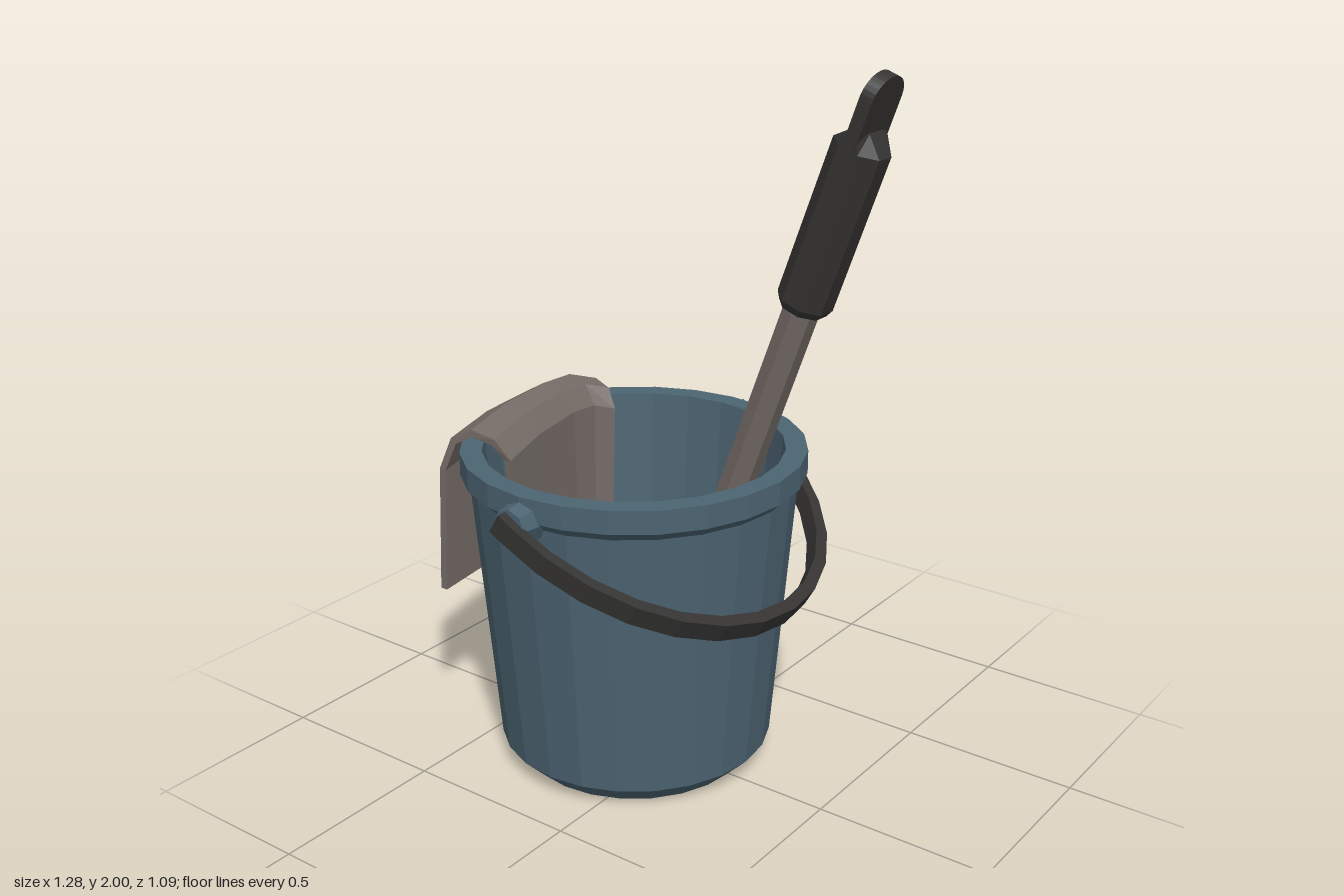
import * as THREE from 'three';

const mat = (name, color, side = THREE.FrontSide) => {
  const m = new THREE.MeshStandardMaterial({ color, flatShading: true, side });
  m.name = name;
  return m;
};

export function createModel() {
  const model = new THREE.Group();
  model.name = 'cleaningBucket';
  const blue = mat('blue plastic', 0x4c6472);
  const dark = mat('dark rubber', 0x353433);
  const taupe = mat('taupe', 0x746b66);

  const add = (parent, name, geometry, material, x = 0, y = 0, z = 0) => {
    const mesh = new THREE.Mesh(geometry, material);
    mesh.name = name;
    mesh.position.set(x, y, z);
    parent.add(mesh);
    return mesh;
  };
  // Flat outline in x/z, given thickness upwards from y = 0
  const slab = (points, depth) => new THREE.ExtrudeGeometry(
    new THREE.Shape(points.map(([x, z]) => new THREE.Vector2(x, -z))),
    { depth, bevelEnabled: false }).rotateX(-Math.PI / 2);

  // Bucket: one closed profile, outside then inside
  const bucket = new THREE.Group();
  bucket.name = 'bucket';
  bucket.position.x = -0.13;
  model.add(bucket);
  const profile = [[0, 0], [0.325, 0], [0.385, 0.06], [0.45, 0.83], [0.475, 0.855],
    [0.475, 0.92], [0.415, 0.92], [0.35, 0.13], [0, 0.13]];
  add(bucket, 'pail', new THREE.LatheGeometry(profile.map(p => new THREE.Vector2(...p)), 24), blue);

  // Pivot knobs on both sides
  for (const s of [-1, 1]) {
    const knob = new THREE.CylinderGeometry(0.05, 0.062, 0.09, 8);
    knob.rotateX(s * Math.PI / 2);
    add(bucket, 'pivotKnob', knob, blue, 0, 0.85, s * 0.472);
  }

  // Carrying handle: a half-ellipse band hanging down to one side
  const outer = [[-0.03, -0.545]], inner = [[-0.03, -0.515]];
  const steps = 14;
  for (let i = 0; i <= steps; i++) {
    const a = -Math.PI / 2 + Math.PI * i / steps;
    outer.push([0.597 * Math.cos(a), 0.545 * Math.sin(a)]);
    inner.push([0.562 * Math.cos(a), 0.515 * Math.sin(a)]);
  }
  outer.push([-0.03, 0.545]);
  inner.push([-0.03, 0.515]);
  const band = slab([...outer, ...inner.reverse()], 0.06).translate(0, -0.03, 0);
  add(bucket, 'carryHandle', band, dark, 0, 0.85, 0).rotation.z = -0.53;

  // Brush leaning in the bucket; its origin is at the bottom of the grip
  const brush = new THREE.Group();
  brush.name = 'brush';
  brush.position.set(0.413, 1.41, 0.02);
  brush.rotation.z = -THREE.MathUtils.degToRad(20);
  model.add(brush);
  const shaft = new THREE.CylinderGeometry(0.046, 0.046, 1.29, 6);
  add(brush, 'shaft', shaft, taupe, 0, -0.595, 0);
  add(brush, 'gripCollar', new THREE.CylinderGeometry(0.072, 0.062, 0.02, 8).rotateY(Math.PI / 8), dark, 0, 0.005, 0);
  add(brush, 'grip', new THREE.CylinderGeometry(0.072, 0.072, 0.42, 8).rotateY(Math.PI / 8), dark, 0, 0.225, 0);
  // Wedge narrowing from the grip to the hanging tab
  const wedge = new THREE.CylinderGeometry(0.072, 0.072, 0.045, 8).rotateY(Math.PI / 8);
  const wp = wedge.attributes.position;
  for (let i = 0; i < wp.count; i++) if (wp.getY(i) > 0) wp.setX(i, wp.getX(i) * 0.3);
  add(brush, 'gripShoulder', wedge, dark, 0, 0.4575, 0);
  // Hanging tab with a rounded end
  const tab = new THREE.Shape();
  tab.moveTo(-0.069, 0.43);
  tab.lineTo(0.069, 0.43);
  tab.lineTo(0.069, 0.56);
  tab.absellipse(0, 0.56, 0.069, 0.06, 0, Math.PI);
  const tabGeometry = new THREE.ExtrudeGeometry(tab, { depth: 0.034, bevelEnabled: false, curveSegments: 8 });
  tabGeometry.translate(0, 0, -0.017).rotateY(Math.PI / 2);
  add(brush, 'hangingTab', tabGeometry, dark);
  // Head plate with cut corners, and the pad beneath it
  const plate = [[-0.065, -0.23], [-0.04, -0.29], [0.04, -0.29], [0.065, -0.23],
    [0.065, 0.23], [0.04, 0.29], [-0.04, 0.29], [-0.065, 0.23]].reverse();
  add(brush, 'brushHead', slab(plate, 0.05), taupe, 0, -1.26, 0);
  add(brush, 'brushPad', new THREE.BoxGeometry(0.1, 0.05, 0.52), taupe, 0, -1.28, 0);

  add(model, 'cloth', clothGeometry(), taupe);
  return model;
}

// Cloth draped over the rim: a thick folded section, lofted along z
function clothGeometry() {
  const rows = [[-0.63, 0.46], [-0.63, 0.85], [-0.6, 0.945], [-0.54, 0.98],
    [-0.475, 0.965], [-0.435, 0.91], [-0.43, 0.6]];
  // Each column: outer z, inner z, outer shift, inner shift, drop
  const columns = [[-0.33, -0.25, 0.06, 0.025, 0.025], [-0.25, -0.2, -0.01, 0, 0.005],
    [-0.09, -0.12, -0.005, -0.003, 0], [0.1, 0.06, 0, 0.03, 0.005], [0.29, 0.225, 0.025, 0.07, 0.025]];
  const R = rows.length, N = 2 * R, thick = 0.022;
  // Under layer: rows offset to the inside of the fold
  const under = rows.map(([x, y], k) => {
    const [x0, y0] = rows[Math.max(k - 1, 0)], [x1, y1] = rows[Math.min(k + 1, R - 1)];
    const len = Math.hypot(x1 - x0, y1 - y0);
    return [x + thick * (y1 - y0) / len, y - thick * (x1 - x0) / len];
  });
  const positions = [], index = [];
  const lerp = THREE.MathUtils.lerp;
  for (const [zo, zi, so, si, drop] of columns) {
    for (let k = 0; k < N; k++) {
      const row = k < R ? k : N - 1 - k;
      const [x, y] = k < R ? rows[row] : under[row];
      const w = row / (R - 1);
      positions.push(x + lerp(so, si, w), y - (row === 0 ? 0 : drop), lerp(zo, zi, w));
    }
  }
  const C = columns.length;
  for (let i = 0; i < C - 1; i++) {
    for (let k = 0; k < N; k++) {
      const a = i * N + k, b = i * N + (k + 1) % N, c = a + N, d = b + N;
      index.push(a, c, b, b, c, d);
    }
  }
  // Side edges of the cloth
  for (let k = 0; k < R - 1; k++) {
    const a = k, b = k + 1, c = N - 1 - k, d = N - 2 - k, e = (C - 1) * N;
    index.push(a, b, c, c, b, d);
    index.push(e + a, e + c, e + b, e + b, e + c, e + d);
  }
  const geometry = new THREE.BufferGeometry();
  geometry.setAttribute('position', new THREE.Float32BufferAttribute(positions, 3));
  geometry.setIndex(index);
  geometry.computeVertexNormals();
  return geometry;
}
